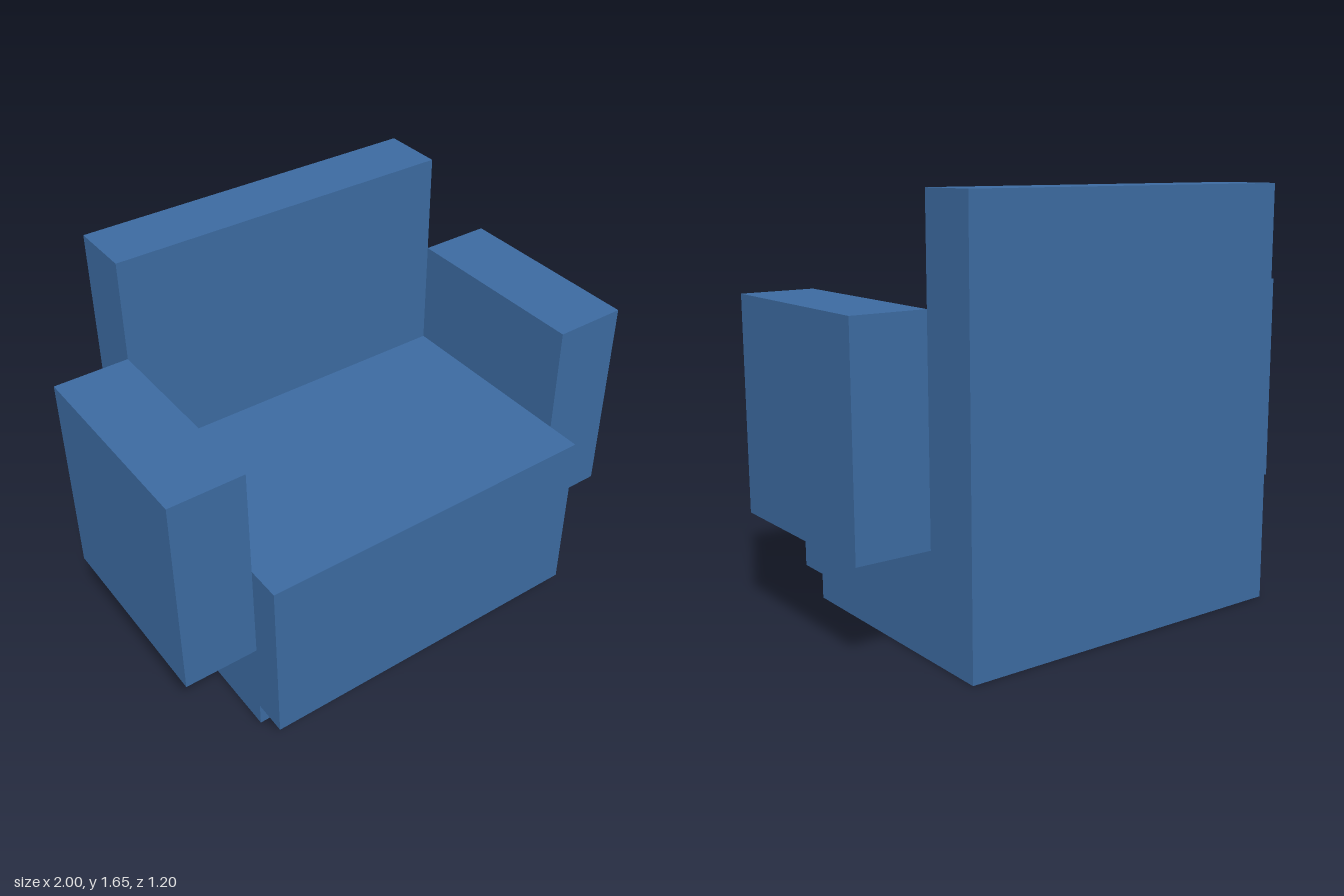
import * as THREE from 'three';

export function createModel() {
  const group = new THREE.Group();
  group.name = 'armchair';
  const fabric = new THREE.MeshStandardMaterial({ color: 0x3c6aa0 });
  fabric.name = 'blue fabric';

  // Box given by its [min, max] extent on each axis
  function block(name, [x0, x1], [y0, y1], [z0, z1]) {
    const mesh = new THREE.Mesh(new THREE.BoxGeometry(x1 - x0, y1 - y0, z1 - z0), fabric);
    mesh.position.set((x0 + x1) / 2, (y0 + y1) / 2, (z0 + z1) / 2);
    mesh.name = name;
    group.add(mesh);
  }

  const half = 0.705;    // half width of seat and back
  const backFront = -0.35; // front plane of the backrest
  const armFront = 0.46;

  block('backrest', [-half, half], [0, 1.65], [-0.6, backFront]);
  block('base', [-half, half], [0, 0.1], [backFront, armFront]);
  block('seat', [-half, half], [0.1, 0.81], [backFront, 0.6]);

  // Armrests raised off the floor on both sides
  block('leftArmrest', [half, 1], [0.41, 1.25], [backFront, armFront]);
  block('rightArmrest', [-1, -half], [0.41, 1.25], [backFront, armFront]);

  return group;
}
